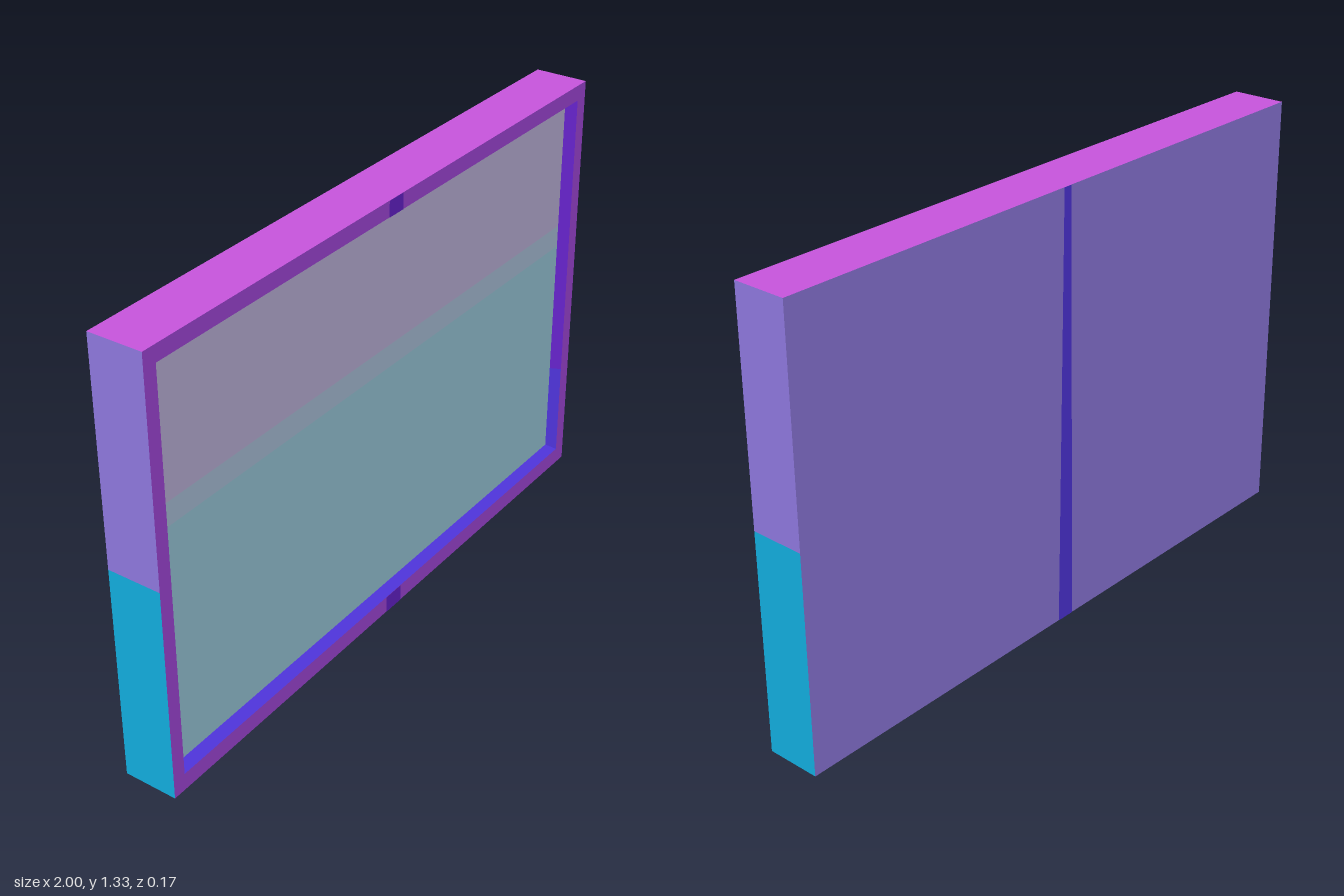
import * as THREE from 'three';

const mat = (name, color) => {
  const m = new THREE.MeshStandardMaterial({ color });
  m.name = name;
  return m;
};

export function createModel() {
  const group = new THREE.Group();
  const purple = mat('frame purple', 0xa347dc);
  const violet = mat('case violet', 0x8d77dc);
  const cyan = mat('side cyan', 0x12acdc);
  const magenta = mat('top magenta', 0xc654dc);
  const indigo = mat('indigo', 0x4f34dc);
  const deep = mat('deep violet', 0x6622cc);
  const lilac = mat('screen lilac', 0xbdb4dc);
  const haze = mat('screen haze', 0xacc2dc);
  const aqua = mat('screen aqua', 0x9acadc);

  const W = 1, H = 1.333, D = 0.083, SPLIT = 0.665;
  const PZ = 0.05; // depth of the recessed screen
  const outer = { x: 0.957, b: 0.053, t: 1.285 }; // recess rim
  const inner = { x: 0.942, b: 0.066, t: 1.27 }; // screen edge

  // Flat four-cornered face, corners anticlockwise from its front
  const face = (name, material, a, b, c, d) => {
    const g = new THREE.BufferGeometry();
    g.setAttribute('position', new THREE.Float32BufferAttribute([...a, ...b, ...c, ...d], 3));
    g.setIndex([0, 1, 2, 0, 2, 3]);
    g.computeVertexNormals();
    const mesh = new THREE.Mesh(g, material);
    mesh.name = name;
    group.add(mesh);
  };

  // Front frame, with the opening cut out
  const rect = (P, x, b, t) => {
    const p = new P();
    p.moveTo(-x, b).lineTo(x, b).lineTo(x, t).lineTo(-x, t).closePath();
    return p;
  };
  const shape = rect(THREE.Shape, W, 0, H);
  shape.holes.push(rect(THREE.Path, outer.x, outer.b, outer.t));
  const frame = new THREE.Mesh(new THREE.ShapeGeometry(shape), purple);
  frame.name = 'frontFrame';
  frame.position.z = D;
  group.add(frame);

  // Outer case: back, top and bottom
  face('backPanel', violet, [W, 0, -D], [-W, 0, -D], [-W, H, -D], [W, H, -D]);
  face('topFace', magenta, [-W, H, D], [W, H, D], [W, H, -D], [-W, H, -D]);
  face('bottomFace', indigo, [-W, 0, -D], [W, 0, -D], [W, 0, D], [-W, 0, D]);

  // Two-tone outer sides and two-tone recess walls, mirrored
  for (const s of [1, -1]) {
    const side = s > 0 ? 'left' : 'right';
    for (const [part, m, b, t] of [['Lower', cyan, 0, SPLIT], ['Upper', violet, SPLIT, H]]) {
      face(side + part + 'Side', m, [s * W, b, s * D], [s * W, b, -s * D], [s * W, t, -s * D], [s * W, t, s * D]);
    }
    const yMid = 0.36;
    const walls = [
      ['Lower', indigo, outer.b, inner.b, yMid, yMid],
      ['Upper', deep, yMid, yMid, outer.t, inner.t],
    ];
    for (const [part, m, ob, ib, ot, it] of walls) {
      const c = [
        [s * outer.x, ob, D], [s * outer.x, ot, D],
        [s * inner.x, it, PZ], [s * inner.x, ib, PZ],
      ];
      if (s < 0) c.reverse();
      face(side + part + 'RecessWall', m, ...c);
    }
  }
  face('bottomRecessWall', indigo, [-outer.x, outer.b, D], [outer.x, outer.b, D], [inner.x, inner.b, PZ], [-inner.x, inner.b, PZ]);
  face('topRecessWall', deep, [-inner.x, inner.t, PZ], [inner.x, inner.t, PZ], [outer.x, outer.t, D], [-outer.x, outer.t, D]);

  // Screen in three horizontal bands
  const bands = [
    ['lowerScreen', aqua, inner.b, 0.8],
    ['middleScreen', haze, 0.8, 0.87],
    ['upperScreen', lilac, 0.87, inner.t],
  ];
  for (const [name, m, b, t] of bands) {
    face(name, m, [-inner.x, b, PZ], [inner.x, b, PZ], [inner.x, t, PZ], [-inner.x, t, PZ]);
  }

  // Painted centre marks on the frame and tapered stripe on the back
  const fz = D + 0.001, bz = -D - 0.001;
  face('topFrameMark', deep, [-0.032, outer.t, fz], [0.032, outer.t, fz], [0.032, H, fz], [-0.032, H, fz]);
  face('bottomFrameMark', deep, [-0.037, 0, fz], [0.037, 0, fz], [0.037, outer.b, fz], [-0.037, outer.b, fz]);
  face('backStripe', indigo, [0.03, 0, bz], [-0.03, 0, bz], [-0.014, H, bz], [0.014, H, bz]);

  return group;
}
